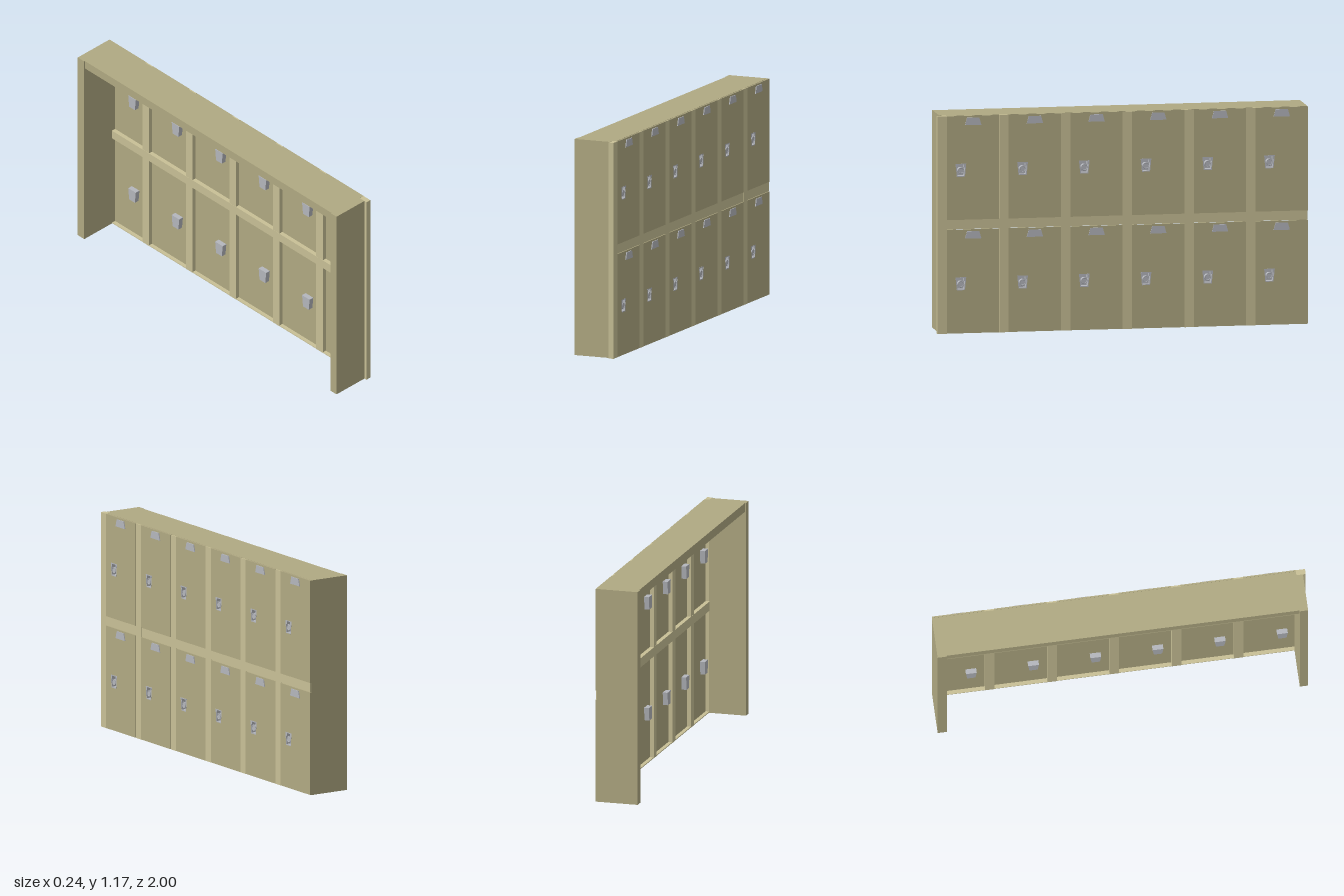
import * as THREE from 'three';

const paint = new THREE.MeshStandardMaterial({ color: 0xb0a982 });
const trim = new THREE.MeshStandardMaterial({ color: 0xc8c096 });
const metal = new THREE.MeshStandardMaterial({ color: 0xb4b6bc });

const PITCH = 1 / 3, COLUMNS = 6, DOOR_W = 0.282, DOOR_H = 0.557;

// Box given by its minimum and maximum corners
function box(name, material, x0, x1, y0, y1, z0, z1) {
  const mesh = new THREE.Mesh(new THREE.BoxGeometry(x1 - x0, y1 - y0, z1 - z0), material);
  mesh.position.set((x0 + x1) / 2, (y0 + y1) / 2, (z0 + z1) / 2);
  mesh.name = name;
  return mesh;
}

// Flat outline (u = -z, v = y) extruded along x
function plate(name, material, outline, x0, x1, hole) {
  const shape = new THREE.Shape(outline);
  if (hole) shape.holes.push(new THREE.Path(hole));
  const geometry = new THREE.ExtrudeGeometry(shape, { depth: x1 - x0, bevelEnabled: false });
  geometry.rotateY(Math.PI / 2);
  geometry.translate(x0, 0, 0);
  const mesh = new THREE.Mesh(geometry, material);
  mesh.name = name;
  return mesh;
}

// Symmetric outline, narrower or wider at the top
function trapezoid(topHalf, bottomHalf, y0, y1, u = 0) {
  return [[-bottomHalf, y0], [bottomHalf, y0], [topHalf, y1], [-topHalf, y1]]
    .map(([a, b]) => new THREE.Vector2(a + u, b));
}

// Recessed latch: cup set into the door with a round dial and two ears
function createLatch() {
  const latch = new THREE.Group();
  latch.name = 'latch';
  const outer = trapezoid(0.029, 0.022, -0.037, 0.033);
  const inner = trapezoid(0.024, 0.018, -0.032, 0.028);
  latch.add(plate('latchCup', metal, outer, 0.084, 0.1155, inner));
  latch.add(plate('latchBack', metal, outer, 0.08, 0.084));

  const dial = new THREE.Mesh(new THREE.CylinderGeometry(0.016, 0.016, 0.028, 20), metal);
  dial.rotation.z = Math.PI / 2;
  dial.position.set(0.099, -0.004, 0);
  dial.name = 'latchDial';
  const ring = new THREE.Mesh(new THREE.TorusGeometry(0.015, 0.0025, 6, 20), metal);
  ring.rotation.y = Math.PI / 2;
  ring.position.set(0.113, -0.004, 0);
  ring.name = 'latchRing';
  latch.add(dial, ring);
  for (const s of [-1, 1]) {
    latch.add(box('latchEar', metal, 0.084, 0.115, 0.012, 0.03, s * 0.02 - 0.004, s * 0.02 + 0.004));
  }
  return latch;
}

// Door with a cut-out for the latch and a label holder near its top
function createDoor() {
  const door = new THREE.Group();
  door.name = 'door';
  const latchY = 0.268, latchZ = 0.066;
  const hole = trapezoid(0.029, 0.022, latchY - 0.037, latchY + 0.033, -latchZ);
  const half = DOOR_W / 2;
  door.add(plate('doorPanel', paint, trapezoid(half, half, 0, DOOR_H), 0.107, 0.115, hole));
  door.add(plate('labelHolder', metal, trapezoid(0.033, 0.044, 0.508, 0.547), 0.113, 0.12));
  const latch = createLatch();
  latch.position.set(0, latchY, latchZ);
  door.add(latch);
  return door;
}

export function createModel() {
  const model = new THREE.Group();
  model.name = 'lockerBank';

  // Open-backed casing: top and two ends
  model.add(box('topPanel', paint, -0.115, 0.106, 1.12, 1.168, -0.96, 0.95));
  model.add(box('leftEnd', paint, -0.12, 0.085, 0, 1.168, 0.94, 0.985));
  model.add(box('rightEnd', paint, -0.12, 0.106, 0, 1.168, -1, -0.95));

  // Face frame: posts, middle rail and thin sill
  for (let i = 0; i < COLUMNS; i++) {
    const z = 1 - i * PITCH;
    model.add(box('post', trim, 0.085, 0.114, 0, 1.167, z - 0.051, z));
  }
  model.add(box('middleRail', trim, 0.084, 0.1135, 0.56, 0.61, -0.996, 0.95));
  model.add(box('sill', trim, 0.086, 0.108, 0, 0.005, -0.95, 0.95));

  // Two rows of doors
  for (let i = 0; i < COLUMNS; i++) {
    for (const y of [0.001, 0.61]) {
      const door = createDoor();
      door.position.set(0, y, 0.8085 - i * PITCH);
      model.add(door);
    }
  }
  return model;
}
